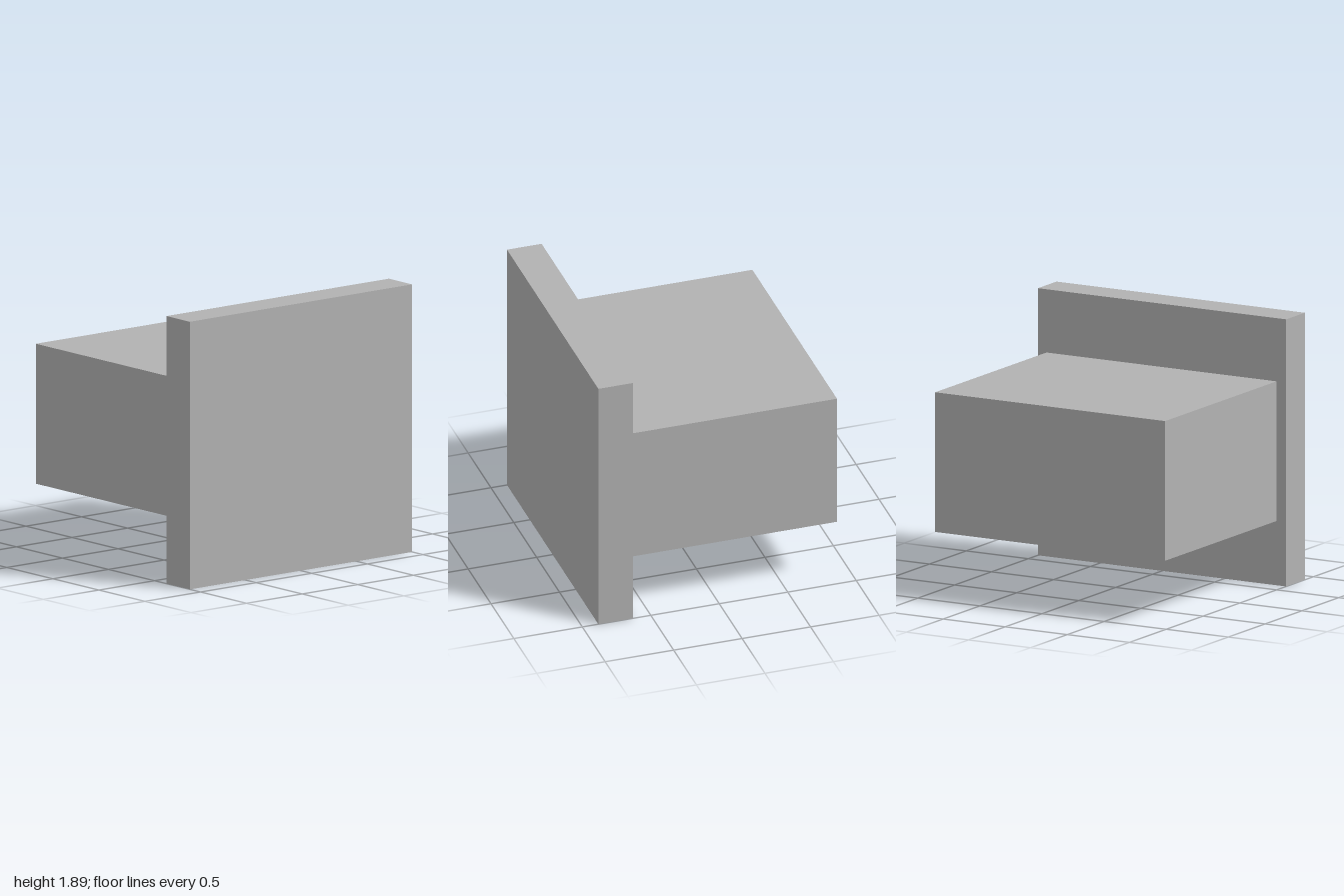
import * as THREE from 'three';

export function createModel() {
  const group = new THREE.Group();
  const grey = new THREE.MeshStandardMaterial({ color: 0xb2b2b2 });
  grey.name = 'plain grey';

  // Box given by its minimum and maximum corners
  const addBox = (name, [x0, y0, z0], [x1, y1, z1]) => {
    const mesh = new THREE.Mesh(new THREE.BoxGeometry(x1 - x0, y1 - y0, z1 - z0), grey);
    mesh.position.set((x0 + x1) / 2, (y0 + y1) / 2, (z0 + z1) / 2);
    mesh.name = name;
    group.add(mesh);
  };

  // Upright square panel
  addBox('frontPanel', [0.63, 0, -1], [0.883, 1.893, 1]);

  // Main block behind the panel
  addBox('body', [-0.883, 0.455, -0.93], [0.63, 1.445, 0.922]);

  // Two flat runners under the block, meeting the panel
  for (const [name, z] of [['backRunner', -0.594], ['frontRunner', 0.098]]) {
    addBox(name, [-0.545, 0.39, z], [0.63, 0.455, z + 0.471]);
  }

  return group;
}
